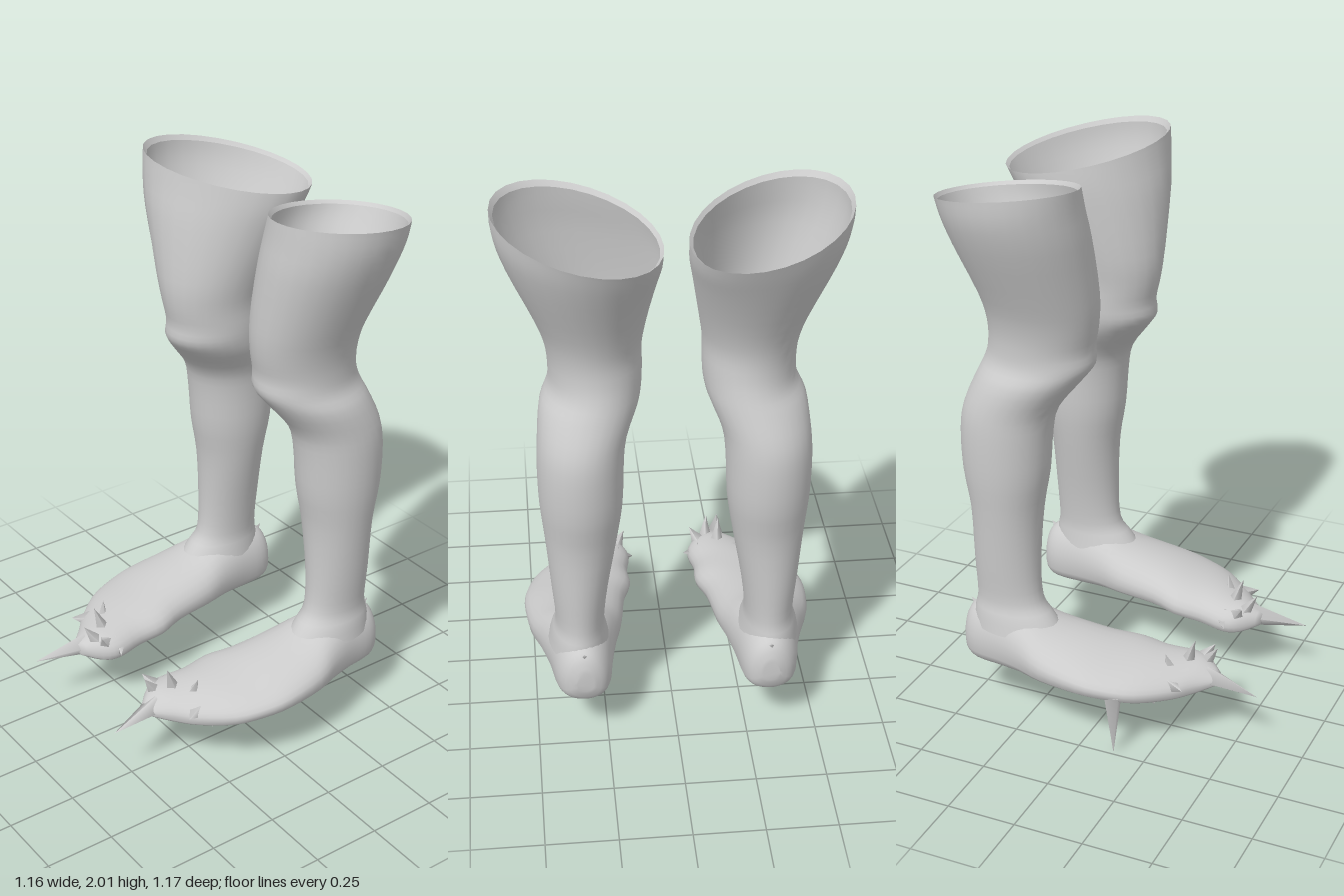
import * as THREE from 'three';

const skin = new THREE.MeshStandardMaterial({ color: 0xcccccc, side: THREE.DoubleSide });
skin.name = 'pale grey';

const SIDES = 28;

// Leg sections from the cut thigh down: y, inner x, outer x, front z, back z, twist
const LEG = [
  [1.95, 0.04, 0.58, -0.055, -0.59, 0.24],
  [1.88, 0.042, 0.575, -0.045, -0.565, 0.2],
  [1.78, 0.057, 0.54, -0.03, -0.525, 0.15],
  [1.6, 0.085, 0.455, -0.022, -0.45, 0.05],
  [1.5, 0.1, 0.423, -0.03, -0.422, 0],
  [1.42, 0.1, 0.414, -0.045, -0.423, 0],
  [1.36, 0.103, 0.42, -0.043, -0.437, 0],
  [1.3, 0.117, 0.448, -0.085, -0.46, 0],
  [1.2, 0.16, 0.46, -0.16, -0.497, 0],
  [1.1, 0.172, 0.465, -0.182, -0.51, 0],
  [0.95, 0.178, 0.462, -0.195, -0.505, 0],
  [0.8, 0.2, 0.448, -0.22, -0.48, 0],
  [0.6, 0.235, 0.432, -0.228, -0.473, 0],
  [0.46, 0.25, 0.422, -0.218, -0.468, 0],
  [0.4, 0.243, 0.437, -0.175, -0.478, 0],
  [0.34, 0.23, 0.45, -0.13, -0.485, 0],
];

// Foot sections from heel to toes: z, inner x, outer x, sole y, top y
const FOOT = [
  [-0.52, 0.3, 0.36, 0.25, 0.33],
  [-0.5, 0.26, 0.4, 0.2, 0.385],
  [-0.45, 0.235, 0.43, 0.18, 0.415],
  [-0.35, 0.22, 0.45, 0.18, 0.43],
  [-0.25, 0.2, 0.48, 0.19, 0.415],
  [-0.15, 0.175, 0.515, 0.198, 0.375],
  [0, 0.155, 0.53, 0.2, 0.34],
  [0.1, 0.125, 0.515, 0.195, 0.32],
  [0.2, 0.13, 0.475, 0.185, 0.305],
  [0.3, 0.115, 0.39, 0.18, 0.29],
  [0.36, 0.14, 0.32, 0.185, 0.28],
  [0.42, 0.2, 0.26, 0.21, 0.25],
];

// Smoothly fills in rows between the given sections
function refine(rows, steps) {
  const out = [];
  for (let i = 0; i < rows.length - 1; i++) {
    const [a, b, c, d] = [-1, 0, 1, 2].map(k => rows[THREE.MathUtils.clamp(i + k, 0, rows.length - 1)]);
    for (let s = 0; s < steps; s++) {
      const t = s / steps;
      out.push(b.map((_, k) => b[k] + 0.5 * t * (c[k] - a[k]
        + t * (2 * a[k] - 5 * b[k] + 4 * c[k] - d[k] + t * (3 * (b[k] - c[k]) + d[k] - a[k])))));
    }
  }
  out.push(rows[rows.length - 1]);
  return out;
}

// Skins closed rings; side = -1 mirrors across x
function loft(rows, point, side, capped) {
  const pos = [], idx = [];
  const tri = (a, b, c) => (side > 0 ? idx.push(a, b, c) : idx.push(a, c, b));
  rows.forEach((row, i) => {
    for (let j = 0; j < SIDES; j++) {
      const [x, y, z] = point(row, j / SIDES * Math.PI * 2);
      pos.push(side * x, y, z);
      if (i === rows.length - 1) continue;
      const a = i * SIDES + j, b = i * SIDES + (j + 1) % SIDES;
      tri(a, b, a + SIDES);
      tri(b, b + SIDES, a + SIDES);
    }
  });
  if (capped) {
    const last = (rows.length - 1) * SIDES;
    for (let j = 1; j < SIDES - 1; j++) {
      tri(0, j + 1, j);
      tri(last, last + j, last + j + 1);
    }
  }
  const g = new THREE.BufferGeometry();
  g.setAttribute('position', new THREE.Float32BufferAttribute(pos, 3));
  g.setIndex(idx);
  g.computeVertexNormals();
  return g;
}

function legPoint([y, xi, xo, zf, zb, twist], a) {
  const dx = (xo - xi) / 2 * Math.cos(a);
  const x = (xi + xo) / 2 + dx;
  const z = (zf + zb) / 2 + (zf - zb) / 2 * Math.sin(a) * (1 - twist * 0.1) + twist * dx;
  // Slanted cut at the top, fading out down the thigh
  const rim = 1.915 + 0.13 * (x - 0.33) + 0.14 * (z + 0.59);
  const fade = THREE.MathUtils.clamp((y - 1.6) / 0.35, 0, 1);
  return [x, y + (rim - 1.95) * fade, z];
}

function footPoint([z, xi, xo, y0, y1], a) {
  const c = Math.cos(a), s = Math.sin(a);
  const mid = y0 + (y1 - y0) * 0.4;
  // Flat sole, domed top leaning to the inner side
  const lean = THREE.MathUtils.clamp((z + 0.3) * 0.6, 0, 0.2);
  const y = s > 0 ? mid + (y1 - mid) * s * (1 - lean * c) : mid - (mid - y0) * Math.pow(-s, 0.6);
  return [(xi + xo) / 2 + (xo - xi) / 2 * c, y, z];
}

// Thin pointed shard from base to tip
function spike(name, base, tip, radius, side) {
  const from = new THREE.Vector3(base[0] * side, base[1], base[2]);
  const dir = new THREE.Vector3(tip[0] * side, tip[1], tip[2]).sub(from);
  const len = dir.length();
  const g = new THREE.ConeGeometry(radius, len, 4);
  g.translate(0, len / 2, 0);
  const mesh = new THREE.Mesh(g, skin);
  mesh.quaternion.setFromUnitVectors(new THREE.Vector3(0, 1, 0), dir.normalize());
  mesh.position.copy(from);
  mesh.name = name;
  return mesh;
}

function makeLeg(side) {
  const leg = new THREE.Group();
  leg.name = side > 0 ? 'leftLeg' : 'rightLeg';
  const add = (name, geo) => {
    const m = new THREE.Mesh(geo, skin);
    m.name = name;
    leg.add(m);
  };
  add('thighAndShin', loft(refine(LEG, 3), legPoint, side, false));
  add('foot', loft(refine(FOOT, 3), footPoint, side, true));

  // Narrow turned-in lip around the open thigh
  const top = LEG[0];
  const inner = [top[0] - 0.015, top[1] + 0.012, top[2] - 0.012, top[3] - 0.012, top[4] + 0.012, top[5]];
  add('thighRim', loft([inner, top], legPoint, side, false));

  // Jagged shards around the toes and heel
  leg.add(
    spike('toeSpike', [0.232, 0.235, 0.38], [0.265, 0.215, 0.58], 0.042, side),
    spike('toeShard', [0.23, 0.26, 0.3], [0.24, 0.37, 0.335], 0.03, side),
    spike('toeShard', [0.19, 0.25, 0.35], [0.2, 0.335, 0.405], 0.03, side),
    spike('toeShard', [0.16, 0.25, 0.28], [0.1, 0.225, 0.31], 0.035, side),
    spike('toeShard', [0.17, 0.25, 0.33], [0.13, 0.305, 0.37], 0.035, side),
    spike('toeShard', [0.29, 0.25, 0.27], [0.31, 0.335, 0.25], 0.03, side),
    spike('toeShard', [0.35, 0.24, 0.28], [0.39, 0.25, 0.345], 0.035, side),
    spike('soleShard', [0.37, 0.21, 0.2], [0.38, 0.165, 0.24], 0.03, side),
    spike('heelShard', [0.33, 0.36, -0.47], [0.33, 0.4, -0.51], 0.025, side),
  );
  if (side < 0) leg.add(spike('soleSpike', [0.48, 0.23, 0.125], [0.49, 0, 0.13], 0.035, side));
  return leg;
}

export function createModel() {
  const model = new THREE.Group();
  model.name = 'pairOfLegs';
  model.add(makeLeg(1), makeLeg(-1));
  return model;
}
